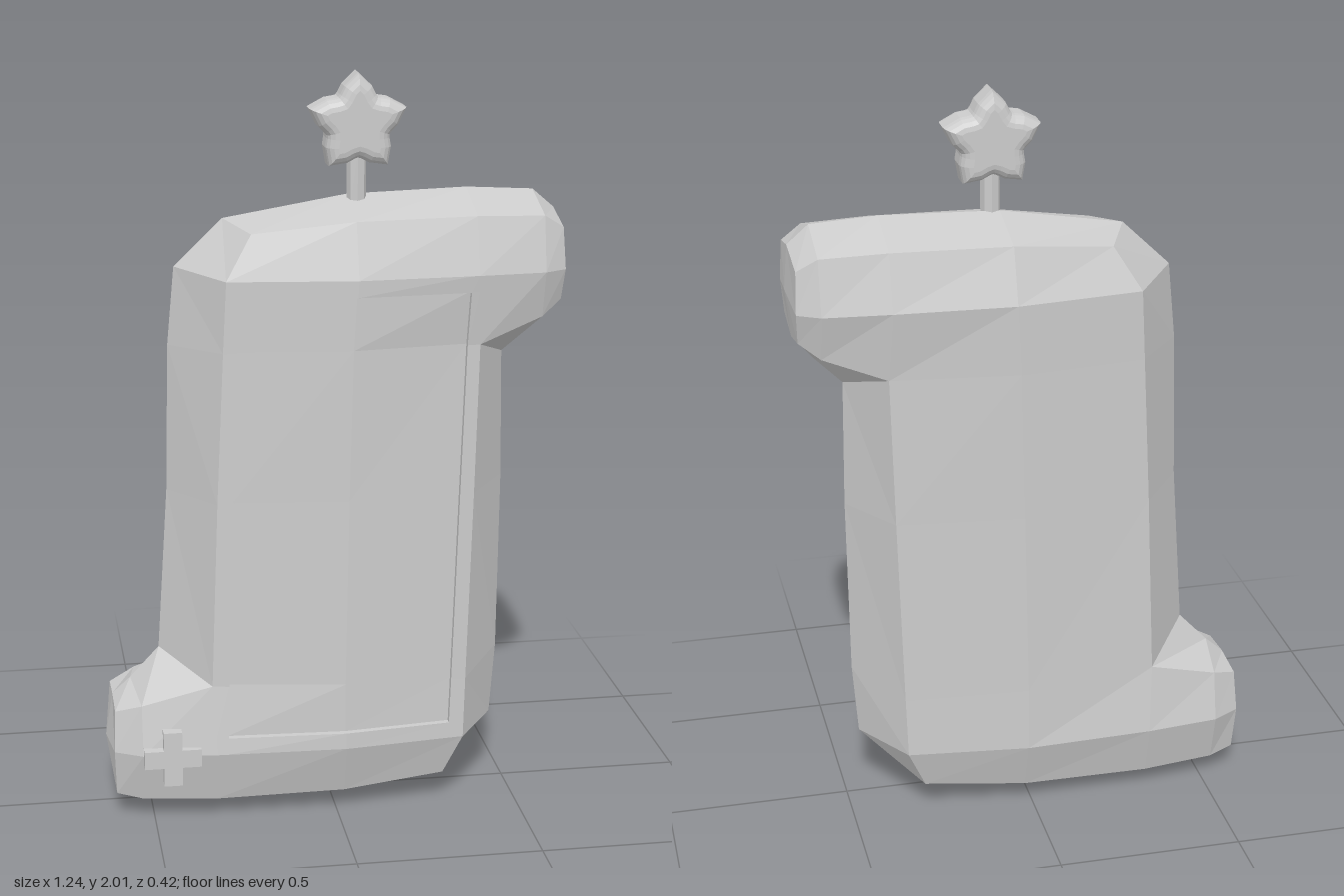
import * as THREE from 'three';

const material = () => new THREE.MeshStandardMaterial({ color: 0xcccccc, flatShading: true });
const lerp = (a, b, t) => a.map((v, i) => v + (b[i] - v) * t);
const atX = (a, b, x) => lerp(a, b, (x - a[0]) / (b[0] - a[0]));
const atY = (a, b, y) => lerp(a, b, (y - a[1]) / (b[1] - a[1]));

// Collects quads (counter-clockwise corners) into a flat shaded mesh
function quadMesh(name, quads) {
  const positions = [];
  for (const [a, b, c, d] of quads) positions.push(...a, ...b, ...c, ...a, ...c, ...d);
  const geometry = new THREE.BufferGeometry();
  geometry.setAttribute('position', new THREE.Float32BufferAttribute(positions, 3));
  geometry.computeVertexNormals();
  const mesh = new THREE.Mesh(geometry, material());
  mesh.name = name;
  return mesh;
}

// Quads between neighbouring rows, rows running left to right and upwards
function gridQuads(rows) {
  const quads = [];
  for (let r = 0; r + 1 < rows.length; r++)
    for (let c = 0; c + 1 < rows[r].length; c++)
      quads.push([rows[r][c], rows[r][c + 1], rows[r + 1][c + 1], rows[r + 1][c]]);
  return quads;
}

// Rows of the main panel: left edge, middle, right edge
const main = [
  [[-0.33, 0.055, 0.155], [0.02, 0.06, 0.16], [0.3, 0.085, 0.14]],
  [[-0.33, 0.2, 0.193], [0.02, 0.2, 0.205], [0.35, 0.2, 0.168]],
  [[-0.34, 0.39, 0.168], [0.02, 0.38, 0.203], [0.355, 0.37, 0.165]],
  [[-0.32, 0.9, 0.165], [0.03, 0.9, 0.2], [0.37, 0.9, 0.165]],
  [[-0.3, 1.31, 0.165], [0.04, 1.31, 0.203], [0.38, 1.31, 0.165]],
  [[-0.29, 1.5, 0.168], [0.05, 1.5, 0.207], [0.37, 1.5, 0.193]],
  [[-0.22, 1.615, 0.13], [0.05, 1.645, 0.16], [0.37, 1.65, 0.155]],
];
// Curled ends: lower one at -x, upper one at +x
const lowerCurl = [
  [[-0.6, 0.07, 0.11], [-0.53, 0.06, 0.135], main[0][0]],
  [[-0.605, 0.2, 0.13], [-0.53, 0.2, 0.172], main[1][0]],
  [[-0.6, 0.31, 0.11], [-0.53, 0.335, 0.145], main[2][0]],
];
const upperCurl = [
  [main[4][2], [0.55, 1.375, 0.145], [0.605, 1.415, 0.12]],
  [main[5][2], [0.55, 1.5, 0.178], [0.61, 1.5, 0.145]],
  [main[6][2], [0.55, 1.645, 0.148], [0.605, 1.61, 0.13]],
];
// Outline of the faces, and the matching ridge around the middle
const rim = [
  ...lowerCurl[0], main[0][1], main[0][2], main[1][2], main[2][2], main[3][2],
  ...upperCurl[0], upperCurl[1][2], upperCurl[2][2], upperCurl[2][1],
  main[6][2], main[6][1], main[6][0], main[5][0], main[4][0], main[3][0],
  main[2][0], lowerCurl[2][1], lowerCurl[2][0], lowerCurl[1][0],
];
const ridge = [
  [-0.6, 0.065], [-0.53, 0.015], [-0.33, 0.003], [0.02, 0.01], [0.33, 0.065],
  [0.46, 0.2], [0.475, 0.4], [0.48, 0.9], [0.475, 1.25], [0.55, 1.325],
  [0.605, 1.39], [0.618, 1.52], [0.608, 1.64], [0.55, 1.69], [0.37, 1.7],
  [0.05, 1.69], [-0.28, 1.635], [-0.41, 1.51], [-0.43, 1.3], [-0.44, 0.9],
  [-0.47, 0.45], [-0.55, 0.365], [-0.6, 0.32], [-0.62, 0.2],
].map(([x, y]) => [x, y, 0]);

function buildBody() {
  const group = new THREE.Group();
  group.name = 'body';
  const sides = rim.map((f, i) => {
    const n = (i + 1) % rim.length;
    return [ridge[i], ridge[n], rim[n], f];
  });
  const curls = [...gridQuads(lowerCurl), ...gridQuads(upperCurl)];

  // Back half mirrors the front half, without the screen opening
  const back = [...sides, ...curls, ...gridQuads(main)]
    .map(q => q.map(([x, y, z]) => [x, y, -1.02 * z]).reverse());

  // Front panel rows, refined around the screen opening
  const between = (a, b, y) => a.map((p, i) => atY(p, b[i], y));
  const rows = [main[1], between(main[1], main[2], 0.245), main[2], main[3], main[4],
    between(main[4], main[5], 1.455), main[5]].map(([left, mid, right]) => {
    const t = (left[1] - 0.245) / 1.21;
    return [left, atX(left, mid, -0.3 + 0.04 * t), mid, atX(mid, right, 0.31 + 0.04 * t), right];
  });
  const frame = gridQuads(rows).filter((_, i) => {
    const r = Math.floor(i / 4), c = i % 4;
    return r === 0 || r === 5 || c === 0 || c === 3;
  });
  const front = [...sides, ...curls, ...gridQuads(main.slice(0, 2)), ...gridQuads(main.slice(5)), ...frame];
  group.add(quadMesh('shell', [...front, ...back]));

  // Recessed screen with its surrounding walls
  const opening = rows.slice(1, 6).map(row => row.slice(1, 4));
  const sink = ([x, y, z]) => [x, y, z - 0.018];
  const loop = [...opening[0], ...opening.slice(1, 4).map(r => r[2]),
    ...[...opening[4]].reverse(), ...opening.slice(1, 4).reverse().map(r => r[0])];
  const walls = loop.map((p, i) => {
    const q = loop[(i + 1) % loop.length];
    return [p, sink(p), sink(q), q].reverse();
  });
  group.add(quadMesh('screenRecess', walls));
  group.add(quadMesh('screen', gridQuads(opening.map(r => r.map(sink)))));
  group.getObjectByName('screenRecess').material.side = THREE.DoubleSide;
  return group;
}

// Plus shaped button on the lower curl
function buildCrossButton() {
  const a = 0.025, b = 0.077;
  const corners = [[-a, -b], [a, -b], [a, -a], [b, -a], [b, a], [a, a],
    [a, b], [-a, b], [-a, a], [-b, a], [-b, -a], [-a, -a]];
  const shape = new THREE.Shape(corners.map(p => new THREE.Vector2(...p)));
  const geometry = new THREE.ExtrudeGeometry(shape, { depth: 0.06, bevelEnabled: false });
  const mesh = new THREE.Mesh(geometry, material());
  mesh.position.set(-0.452, 0.198, 0.14);
  mesh.name = 'crossButton';
  return mesh;
}

// Stem with a soft, rounded star on top
function buildAntenna() {
  const group = new THREE.Group();
  group.name = 'antenna';
  const stem = new THREE.Mesh(new THREE.CylinderGeometry(0.026, 0.026, 0.15, 8), material());
  stem.position.y = 1.74;
  stem.name = 'stem';

  const points = [];
  for (let i = 0; i < 10; i++) {
    const angle = Math.PI / 2 + i * Math.PI / 5, r = i % 2 ? 0.054 : 0.089;
    points.push(new THREE.Vector3(Math.cos(angle) * r, Math.sin(angle) * r, 0));
  }
  const curve = new THREE.CatmullRomCurve3(points, true);
  const outline = curve.getPoints(30).slice(0, -1).map(p => new THREE.Vector2(p.x, p.y));
  const geometry = new THREE.ExtrudeGeometry(new THREE.Shape(outline), {
    depth: 0.05, bevelThickness: 0.035, bevelSize: 0.032, bevelSegments: 4,
  });
  geometry.translate(0, 0, -0.025);
  const star = new THREE.Mesh(geometry, material());
  star.position.y = 1.88;
  star.name = 'star';

  group.add(stem, star);
  group.position.set(0.072, 0, 0.018);
  return group;
}

export function createModel() {
  const model = new THREE.Group();
  model.name = 'handheldScroll';
  model.add(buildBody(), buildCrossButton(), buildAntenna());
  return model;
}
